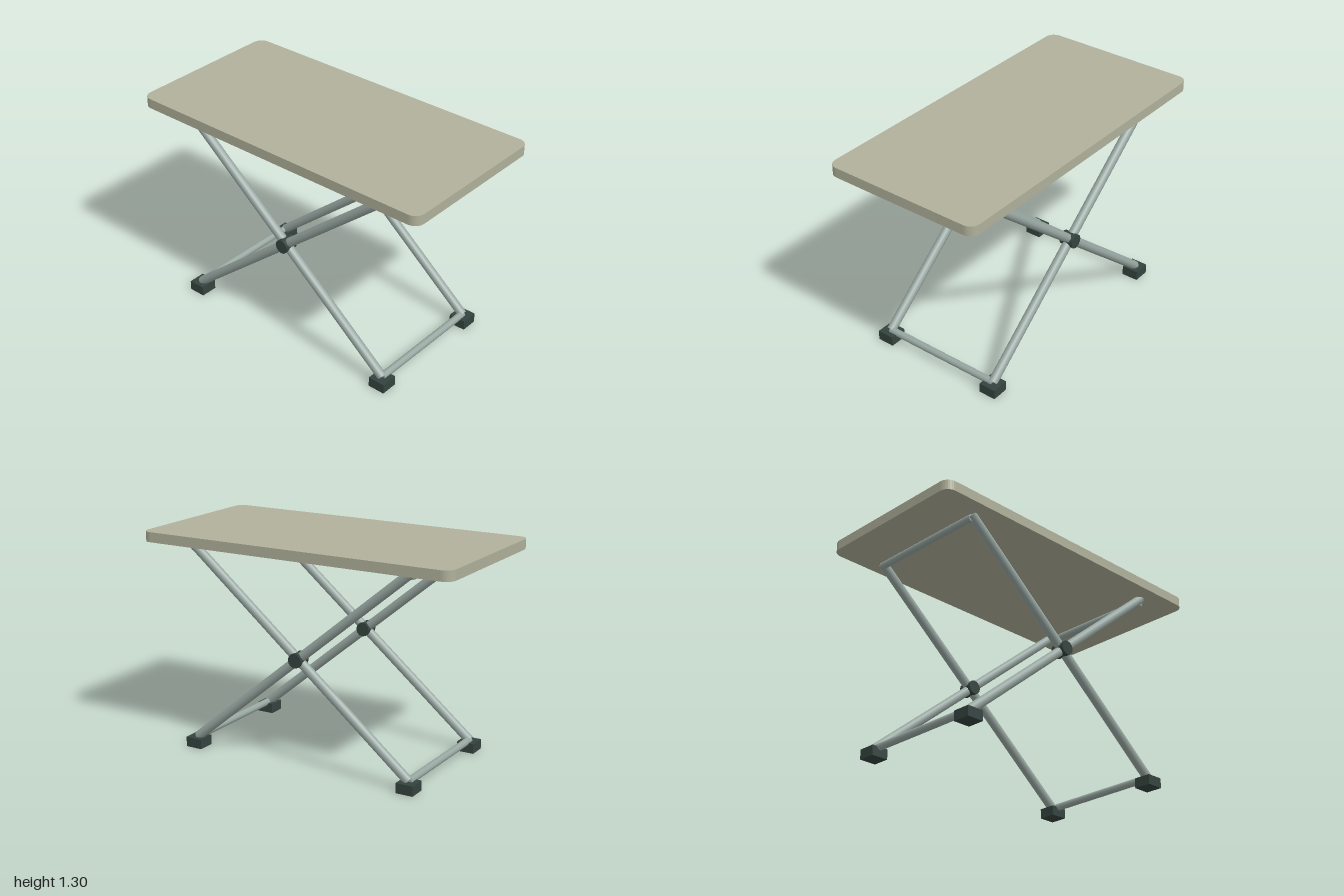
import * as THREE from 'three';

const LEG_X = 0.715, LEG_Z = 0.385, LEG_LOW = 0.062, LEG_HIGH = 1.243;

export function createModel() {
  const group = new THREE.Group();
  const mat = (name, color) => {
    const m = new THREE.MeshStandardMaterial({ color });
    m.name = name;
    return m;
  };
  const board = mat('warm grey board', 0xb0b09b);
  const metal = mat('grey green metal', 0x98a7a2);
  const rubber = mat('dark rubber', 0x34433f);

  const add = (name, geometry, material, x = 0, y = 0, z = 0) => {
    const mesh = new THREE.Mesh(geometry, material);
    mesh.name = name;
    mesh.position.set(x, y, z);
    group.add(mesh);
    return mesh;
  };

  // Round tube between two points
  const tube = (name, a, b, radius) => {
    const dir = b.clone().sub(a);
    const mesh = add(name, new THREE.CylinderGeometry(radius, radius, dir.length(), 12), metal);
    mesh.position.copy(a).add(b).multiplyScalar(0.5);
    mesh.quaternion.setFromUnitVectors(new THREE.Vector3(0, 1, 0), dir.normalize());
  };

  // Tabletop with rounded corners
  const w = 1, d = 0.5, r = 0.06;
  const shape = new THREE.Shape();
  shape.absarc(w - r, d - r, r, 0, Math.PI / 2);
  shape.absarc(-w + r, d - r, r, Math.PI / 2, Math.PI);
  shape.absarc(-w + r, -d + r, r, Math.PI, Math.PI * 1.5);
  shape.absarc(w - r, -d + r, r, Math.PI * 1.5, Math.PI * 2);
  const top = new THREE.ExtrudeGeometry(shape, { depth: 0.06, bevelEnabled: false, curveSegments: 4 });
  top.rotateX(-Math.PI / 2);
  add('tabletop', top, board, 0, 1.245, 0);

  for (const sz of [1, -1]) {
    const z = sz * LEG_Z;
    for (const sx of [1, -1]) {
      // Crossed legs and their feet
      tube('leg', new THREE.Vector3(sx * LEG_X, LEG_LOW, z), new THREE.Vector3(-sx * LEG_X, LEG_HIGH, z), 0.028);
      add('foot', new THREE.BoxGeometry(0.106, 0.06, 0.106), rubber, sx * LEG_X, 0.03, z);
    }
    // Pivot where the legs cross
    const hub = new THREE.CylinderGeometry(0.043, 0.043, 0.086, 12).rotateX(Math.PI / 2);
    add('pivot', hub, rubber, 0, (LEG_LOW + LEG_HIGH) / 2, z);
  }

  // Crossbars joining the front and back legs
  for (const sx of [1, -1]) {
    for (const [name, y] of [['lowerCrossbar', 0.062], ['upperCrossbar', 1.223]]) {
      tube(name, new THREE.Vector3(sx * LEG_X, y, -LEG_Z), new THREE.Vector3(sx * LEG_X, y, LEG_Z), 0.022);
    }
  }
  return group;
}
